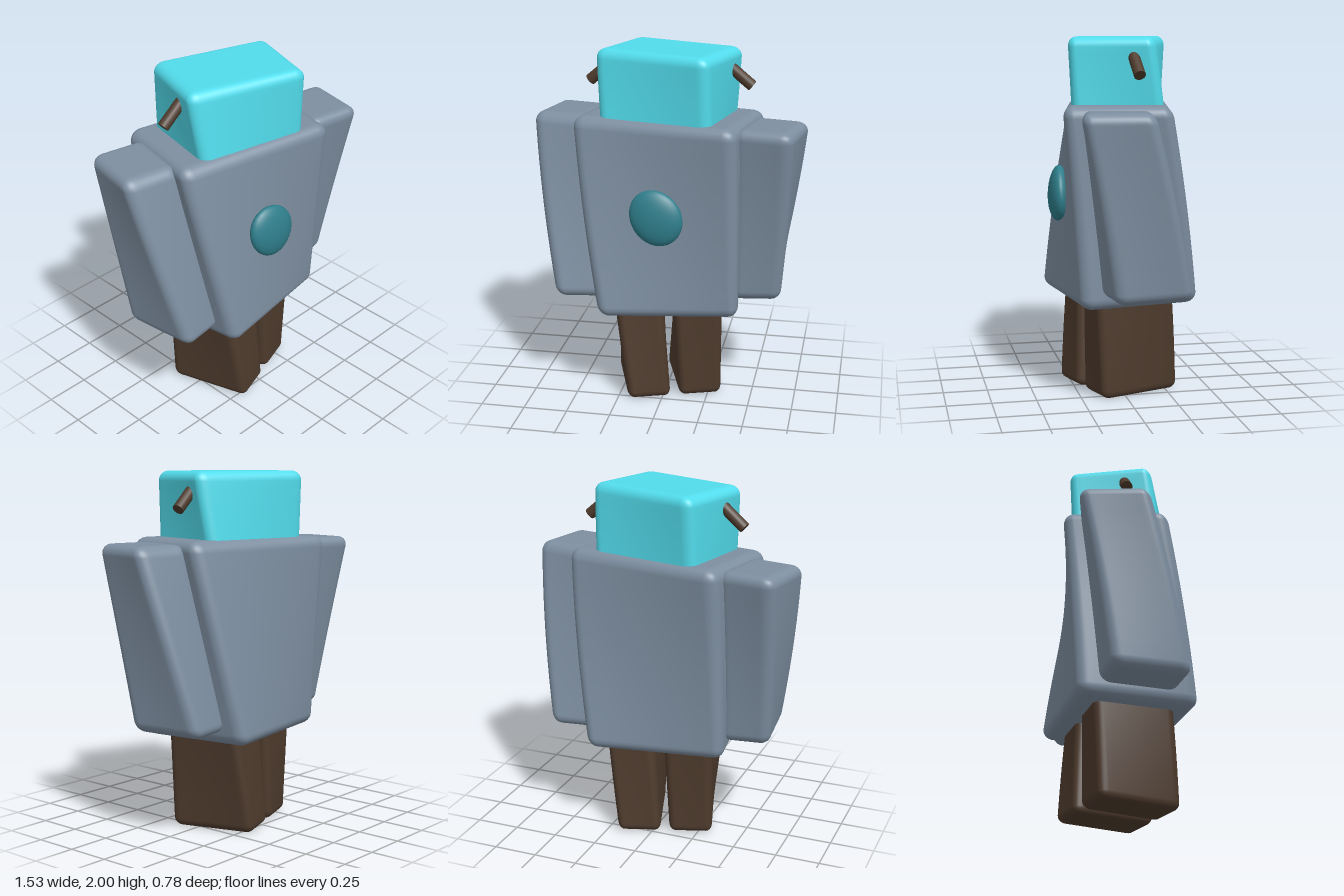
import * as THREE from 'three';
import { mergeVertices } from 'three/addons/utils/BufferGeometryUtils.js';

const SEGMENTS = 22; // grid divisions along each axis of a block
const CORNER = 5; // divisions spent on each rounded edge

const material = (color) => new THREE.MeshStandardMaterial({ color });

// Whole-body rule: widen in x and thin in z with height, while twisting about y
function warp(geometry) {
  const p = geometry.attributes.position;
  for (let i = 0; i < p.count; i++) {
    const h = p.getY(i) - 1;
    const x = p.getX(i) * (1 + 0.18 * h);
    const z = p.getZ(i) * (1 - 0.14 * h);
    const a = -0.33 * h;
    p.setX(i, x * Math.cos(a) + z * Math.sin(a));
    p.setZ(i, -x * Math.sin(a) + z * Math.cos(a) - 0.01);
  }
  geometry.deleteAttribute('normal');
  geometry.deleteAttribute('uv');
  const smooth = mergeVertices(geometry, 1e-5);
  smooth.computeVertexNormals();
  return smooth;
}

// Grid step (0..SEGMENTS) to a coordinate, with fine steps in the rounded edges
function gridCoordinate(step, half, r) {
  if (step <= CORNER) return -half + (r * step) / CORNER;
  if (step >= SEGMENTS - CORNER) return half - (r * (SEGMENTS - step)) / CORNER;
  const t = (step - CORNER) / (SEGMENTS - 2 * CORNER);
  return (half - r) * (2 * t - 1);
}

// Box with rounded edges and finely divided faces, so that it twists smoothly
function roundedBlock(width, height, depth, r) {
  const g = new THREE.BoxGeometry(1, 1, 1, SEGMENTS, SEGMENTS, SEGMENTS);
  const p = g.attributes.position;
  const half = new THREE.Vector3(width, height, depth).multiplyScalar(0.5);
  const inner = half.clone().subScalar(r);
  const lower = inner.clone().negate();
  const v = new THREE.Vector3();
  for (let i = 0; i < p.count; i++) {
    v.fromBufferAttribute(p, i);
    for (const axis of ['x', 'y', 'z']) {
      v[axis] = gridCoordinate(Math.round((v[axis] + 0.5) * SEGMENTS), half[axis], r);
    }
    const core = v.clone().clamp(lower, inner);
    v.sub(core).setLength(r).add(core);
    p.setXYZ(i, v.x, v.y, v.z);
  }
  return g;
}

// Warped block between two heights
function block(name, mat, x, width, depth, y0, y1, radius) {
  const g = roundedBlock(width, y1 - y0, depth, radius);
  g.translate(x, (y0 + y1) / 2, 0);
  const mesh = new THREE.Mesh(warp(g), mat);
  mesh.name = name;
  return mesh;
}

export function createModel() {
  const model = new THREE.Group();
  model.name = 'blockFigure';
  const slate = material(0x7e8fa1);
  const brown = material(0x4e3b2d);
  const cyan = material(0x52dcec);
  const teal = material(0x2f7f8c);

  // Torso and head
  model.add(block('torso', slate, 0, 0.855, 0.64, 0.53, 1.635, 0.065));
  model.add(block('head', cyan, 0, 0.585, 0.55, 1.5, 2, 0.055));

  // Oval chest gem
  const gem = new THREE.SphereGeometry(1, 28, 18);
  gem.scale(0.145, 0.155, 0.058).translate(0, 1.125, 0.347);
  const chestGem = new THREE.Mesh(warp(gem), teal);
  chestGem.name = 'chestGem';
  model.add(chestGem);

  for (const [side, s] of [['left', 1], ['right', -1]]) {
    // Limbs
    model.add(block(side + 'Arm', slate, s * 0.535, 0.3, 0.42, 0.6, 1.615, 0.06));
    model.add(block(side + 'Leg', brown, s * 0.18, 0.3, 0.425, 0, 0.65, 0.045));

    // Drooping horn on the side of the head
    const start = new THREE.Vector3(s * 0.31, 1.92, -0.025);
    const end = new THREE.Vector3(s * 0.455, 1.797, -0.035);
    const axis = end.clone().sub(start);
    const horn = new THREE.Mesh(new THREE.CylinderGeometry(0.032, 0.032, axis.length(), 16), brown);
    horn.position.copy(start).lerp(end, 0.5);
    horn.quaternion.setFromUnitVectors(new THREE.Vector3(0, 1, 0), axis.normalize());
    horn.name = side + 'Horn';
    model.add(horn);
  }
  return model;
}
